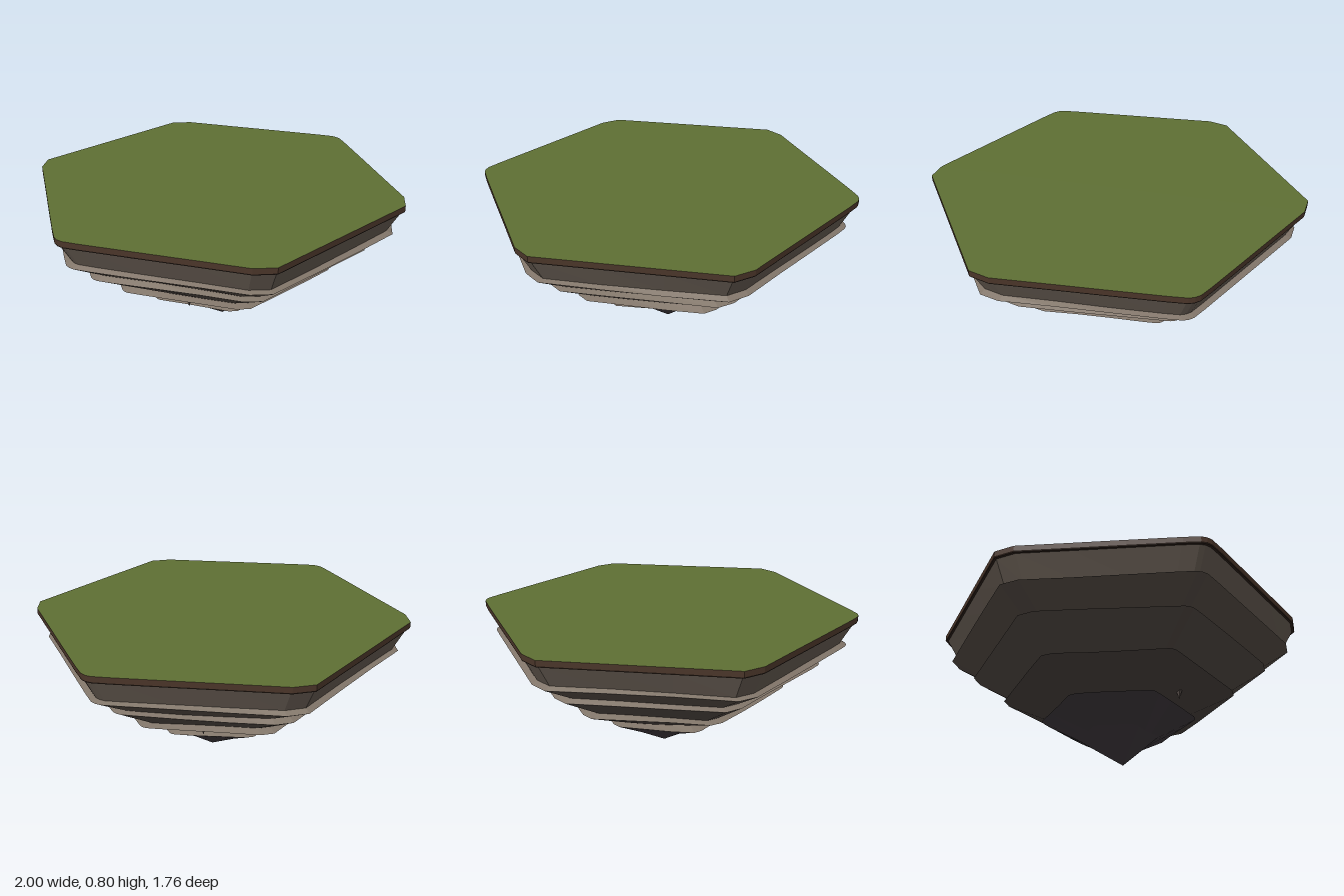
import * as THREE from 'three';

// One quadrant of the blunt-cornered hexagon, mirrored into the full outline.
function makeOutline() {
  const quadrant = [[0.995, 0.03], [0.955, 0.105], [0.82, 0.34], [0.685, 0.573], [0.55, 0.808], [0.465, 0.878], [0.155, 0.878]];
  const flipX = [...quadrant].reverse().map(([x, z]) => [-x, z]);
  const half = [[1, 0], ...quadrant, ...flipX];
  return [...half, ...half.map(([x, z]) => [-x, -z])];
}
const outline = makeOutline();

// A ring of points: scaled outline at height y, with a slight vertical wave.
function ring(scale, y, wave = 0, dx = 0, dz = 0) {
  return outline.map(([x, z]) => {
    const a = Math.atan2(z, x);
    const dy = wave * (Math.sin(3 * a + scale * 40) + 0.6 * Math.sin(5 * a + scale * 17));
    return [x * scale + dx, y + dy, z * scale + dz];
  });
}

// Skin between successive rings, listed from top to bottom.
function skin(rings) {
  const pos = [];
  const n = outline.length;
  for (let r = 0; r < rings.length - 1; r++) {
    for (let i = 0; i < n; i++) {
      const j = (i + 1) % n;
      const [a, b, c, d] = [rings[r][i], rings[r][j], rings[r + 1][i], rings[r + 1][j]];
      pos.push(...a, ...b, ...c, ...b, ...d, ...c);
    }
  }
  const geo = new THREE.BufferGeometry();
  geo.setAttribute('position', new THREE.Float32BufferAttribute(pos, 3));
  geo.computeVertexNormals();
  return geo;
}

function addMesh(group, name, geo, color) {
  const mesh = new THREE.Mesh(geo, new THREE.MeshStandardMaterial({ color, flatShading: true }));
  mesh.name = name;
  group.add(mesh);
  return mesh;
}

export function createModel() {
  const model = new THREE.Group();
  model.name = 'floatingIsland';

  // Grass cap
  addMesh(model, 'grassTop', skin([ring(0, 0.8), ring(1, 0.8)]), 0x5f7034);

  // Soil rim with a small underside lip
  addMesh(model, 'soilRim', skin([ring(1, 0.8), ring(1, 0.772)]), 0x4a3529);
  addMesh(model, 'soilLip', skin([ring(1, 0.772), ring(0.997, 0.765), ring(0.975, 0.765)]), 0x2e211a);

  // Stepped rock strata: each band tapers in, then a ledge juts out below it
  const wave = 0.003;
  const strata = [
    { top: 0.985, yTop: 0.767, bottom: 0.918, yBottom: 0.648, color: 0x6b6056 },
    { top: 0.95, yTop: 0.637, bottom: 0.78, yBottom: 0.538, color: 0x5a5049 },
    { top: 0.817, yTop: 0.526, bottom: 0.59, yBottom: 0.392, color: 0x554c46 },
    { top: 0.636, yTop: 0.38, bottom: 0.365, yBottom: 0.26, color: 0x4b4340 },
  ];
  const tipTop = { top: 0.42, yTop: 0.248 };
  strata.forEach((s, k) => {
    const next = strata[k + 1] ?? tipTop;
    const upper = ring(s.top, s.yTop, k ? wave : 0);
    const lower = ring(s.bottom, s.yBottom, wave);
    const lip = ring(next.top, next.yTop, wave);
    addMesh(model, 'rockBand' + (k + 1), skin([upper, lower]), s.color);
    addMesh(model, 'rockLedge' + (k + 1), skin([lower, lip]), 0x82766a);
  });

  // Pointed tip, slightly off centre
  const tip = [ring(tipTop.top, tipTop.yTop, wave), ring(0.215, 0.145, wave, 0.01, 0.005), ring(0, 0, 0, 0.02, 0.037)];
  addMesh(model, 'rockTip', skin(tip), 0x423b40);

  // Small hanging rock shards
  for (const [x, y, z] of [[-0.36, 0.295, 0.18], [0.365, 0.31, -0.17]]) {
    const shard = addMesh(model, 'rockShard', new THREE.ConeGeometry(0.025, 0.07, 5), 0x5a504b);
    shard.position.set(x, y, z);
    shard.rotation.x = Math.PI;
  }
  return model;
}
